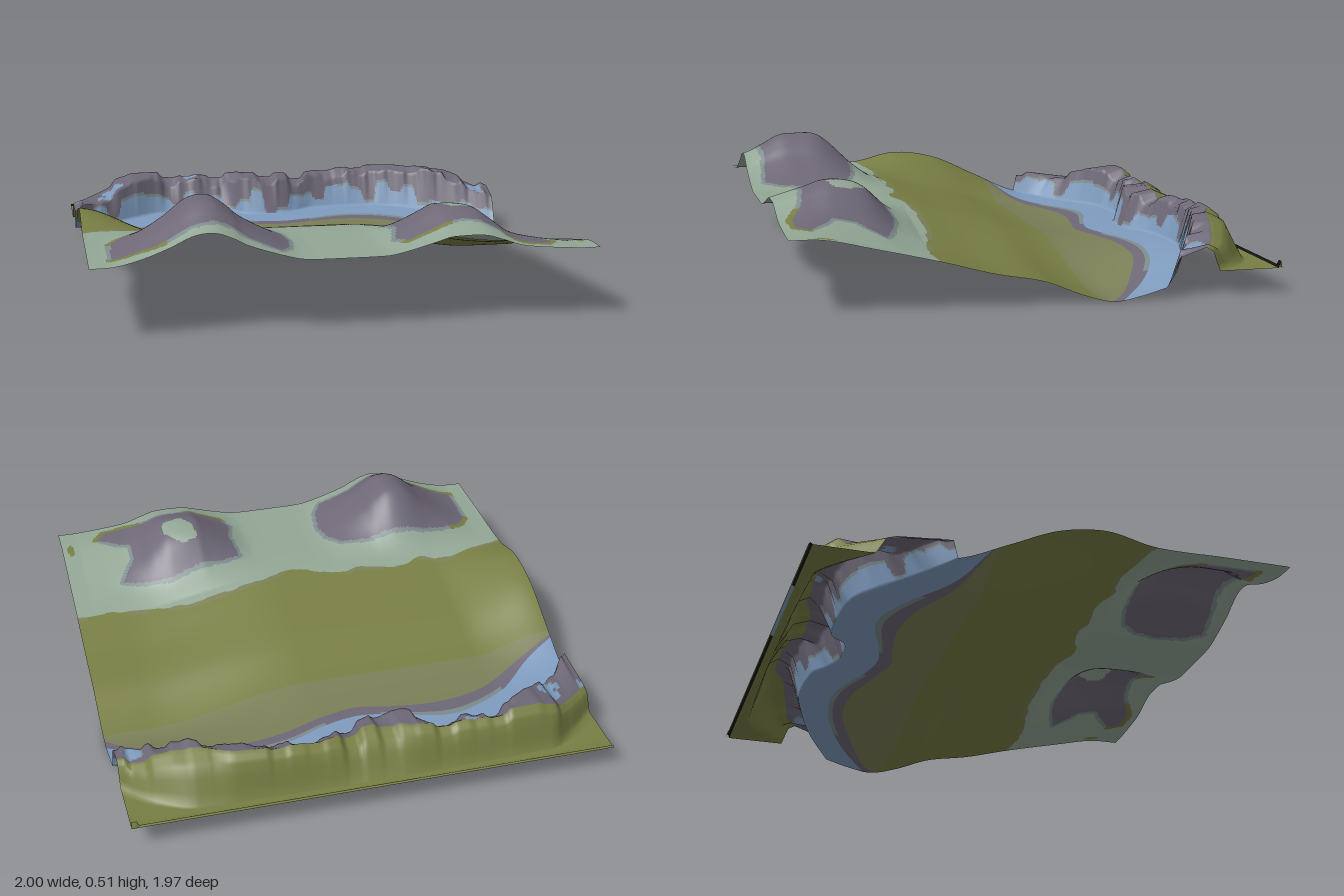
import * as THREE from 'three';

const mat = (name, color) =>
  new THREE.MeshStandardMaterial({ name, color, side: THREE.DoubleSide });

const lerp = (a, b, t) => a + (b - a) * t;
const smooth = (a, b, v) => THREE.MathUtils.smoothstep(v, a, b);

// Smooth curve through [position, value] points, held constant past both ends
function curve(p) {
  const slope = (i) => {
    const a = p[Math.max(0, i - 1)], b = p[Math.min(p.length - 1, i + 1)];
    return (b[1] - a[1]) / (b[0] - a[0]);
  };
  return (v) => {
    if (v <= p[0][0]) return p[0][1];
    if (v >= p[p.length - 1][0]) return p[p.length - 1][1];
    let i = 0;
    while (v > p[i + 1][0]) i++;
    const d = p[i + 1][0] - p[i][0], t = (v - p[i][0]) / d, t2 = t * t, t3 = t2 * t;
    return (2 * t3 - 3 * t2 + 1) * p[i][1] + (t3 - 2 * t2 + t) * d * slope(i)
      + (3 * t2 - 2 * t3) * p[i + 1][1] + (t3 - t2) * d * slope(i + 1);
  };
}

// Repeatable blocky noise, -1 to 1
const hash = (a, b) => {
  const s = Math.sin(a * 127.1 + b * 311.7) * 43758.5453;
  return (s - Math.floor(s)) * 2 - 1;
};
const blocky = (x, n, seed) => {
  const i = Math.floor(x * n);
  return lerp(hash(i, seed), hash(i + 1, seed), smooth(0.3, 0.7, x * n - i));
};

// Valley profiles (z, y) at the two sides and the middle
const sideA = curve([[-0.6, 0.1], [-0.4, 0.13], [-0.2, 0.22], [0, 0.31], [0.2, 0.34], [0.4, 0.3], [0.7, 0.3]]);
const middle = curve([[-0.6, 0.1], [-0.4, 0.1], [-0.2, 0.13], [0, 0.19], [0.2, 0.24], [0.4, 0.288], [0.6, 0.3], [1, 0.3]]);
const sideB = curve([[-0.71, 0.1], [-0.52, 0.05], [-0.39, 0.015], [-0.28, 0], [-0.15, 0.035], [0, 0.095],
  [0.2, 0.135], [0.4, 0.19], [0.67, 0.255], [0.85, 0.295], [1, 0.3]]);

// Hill cross-sections, along x and along z
const bigX = curve([[-0.98, 0], [-0.9, 0.04], [-0.8, 0.25], [-0.7, 0.57], [-0.6, 0.95], [-0.52, 1],
  [-0.45, 0.79], [-0.4, 0.57], [-0.3, 0.28], [-0.2, 0.05], [-0.13, 0]]);
const bigZ = curve([[0.36, 0], [0.42, 0.08], [0.5, 0.35], [0.6, 0.8], [0.66, 0.98], [0.75, 1],
  [0.82, 0.97], [0.9, 0.77], [0.96, 0.62], [1, 0.57]]);
const smallX = curve([[0.08, 0], [0.16, 0.05], [0.25, 0.35], [0.35, 0.78], [0.4, 0.98], [0.53, 1],
  [0.6, 0.72], [0.68, 0.33], [0.8, 0.12], [0.92, 0]]);
const smallZ = curve([[0.4, 0], [0.5, 0.3], [0.6, 0.85], [0.66, 1], [0.76, 0.98], [0.85, 0.75], [0.99, 0.45]]);

function ground(x, z) {
  const y = x < -0.65
    ? lerp(middle(z), sideA(z), smooth(0.65, 1, -x))
    : lerp(middle(z), sideB(z), smooth(0.1, 0.8, x));
  return y + 0.202 * bigX(x) * bigZ(z) + 0.147 * smallX(x) * smallZ(z);
}

// Lines across the terrain, z as a function of x
const ridgeBack = curve([[-1, -0.65], [-0.87, -0.77], [-0.77, -0.84], [-0.2, -0.84], [-0.08, -0.8], [0.05, -0.8],
  [0.2, -0.84], [0.55, -0.84], [0.65, -0.79], [0.9, -0.72], [1, -0.66]]);
const slopeFoot = curve([[-1, -0.73], [-0.87, -0.85], [-0.75, -0.92], [0.72, -0.92], [0.88, -0.84], [1, -0.72]]);
const cliffFoot = curve([[-1, -0.41], [-0.85, -0.55], [-0.7, -0.67], [-0.6, -0.73], [-0.45, -0.75], [-0.25, -0.74],
  [-0.18, -0.67], [-0.02, -0.66], [0.06, -0.69], [0.15, -0.74], [0.4, -0.75], [0.6, -0.7], [0.8, -0.62], [1, -0.5]]);
const waterEdge = curve([[-1, -0.27], [-0.85, -0.35], [-0.7, -0.48], [-0.55, -0.56], [-0.45, -0.59], [-0.35, -0.58],
  [-0.2, -0.53], [-0.05, -0.5], [0.1, -0.53], [0.25, -0.59], [0.4, -0.61], [0.6, -0.57], [0.8, -0.47], [1, -0.32]]);
const bankEdge = curve([[-1, -0.26], [-0.8, -0.34], [-0.6, -0.45], [-0.4, -0.49], [-0.2, -0.47], [-0.05, -0.44],
  [0.1, -0.47], [0.3, -0.53], [0.5, -0.53], [0.7, -0.45], [0.9, -0.35], [1, -0.27]]);
const meadowEdge = curve([[-1, 0.41], [-0.85, 0.38], [-0.7, 0.35], [-0.6, 0.38], [-0.5, 0.34], [-0.3, 0.37],
  [-0.2, 0.35], [0, 0.41], [0.15, 0.38], [0.3, 0.36], [0.5, 0.36], [0.8, 0.41], [1, 0.41]]);
const crest = curve([[-1, 0.2], [-0.88, 0.225], [-0.7, 0.27], [-0.5, 0.26], [-0.3, 0.25], [-0.1, 0.26],
  [0.1, 0.25], [0.4, 0.265], [0.8, 0.255], [0.9, 0.22], [1, 0.18]]);
const ridgeTop = (x) => Math.min(0.28, crest(x) + 0.02 * blocky(x, 13, 1));
const endBluff = (x) => smooth(0.88, 1, -x);
const cliffTop = (x) => cliffFoot(x) - lerp(0.05, 0.02, endBluff(x)) + 0.008 * blocky(x, 22, 2);
const cliffHeight = (x) => ridgeTop(x) - 0.02 + 0.02 * blocky(x, 17, 3) + 0.05 * endBluff(x);
const lipHeight = (x) => 0.108 + 0.02 * smooth(0.76, 0.82, x) * smooth(0.97, 0.92, x);

// Outlines (x, z) of the bare rock on the hills and of the grassy cap
const bigRock = [[-0.9, 0.64], [-0.86, 0.58], [-0.75, 0.53], [-0.65, 0.51], [-0.38, 0.515], [-0.27, 0.55], [-0.22, 0.62],
  [-0.2, 0.72], [-0.22, 0.85], [-0.26, 0.92], [-0.45, 0.9], [-0.58, 0.92], [-0.72, 0.92], [-0.82, 0.89], [-0.91, 0.88]];
const smallRock = [[0.22, 0.56], [0.3, 0.53], [0.42, 0.52], [0.55, 0.5], [0.66, 0.53], [0.76, 0.57], [0.73, 0.62],
  [0.69, 0.68], [0.69, 0.77], [0.76, 0.82], [0.83, 0.88], [0.79, 0.93], [0.69, 0.93], [0.6, 0.88], [0.47, 0.86],
  [0.38, 0.88], [0.25, 0.88], [0.21, 0.82], [0.24, 0.7]];
const grassCap = [[0.4, 0.62], [0.47, 0.6], [0.51, 0.63], [0.55, 0.68], [0.54, 0.75], [0.45, 0.76], [0.41, 0.7]];

// Distance to an outline, negative inside
function distance(outline, x, z) {
  let inside = false, near = Infinity;
  outline.forEach(([bx, bz], i) => {
    const [ax, az] = outline.at(i - 1), dx = bx - ax, dz = bz - az;
    const t = THREE.MathUtils.clamp(((x - ax) * dx + (z - az) * dz) / (dx * dx + dz * dz), 0, 1);
    near = Math.min(near, Math.hypot(x - ax - t * dx, z - az - t * dz));
    if ((az > z) !== (bz > z) && x < ax + (z - az) * dx / dz) inside = !inside;
  });
  return inside ? -near : near;
}

// Strips from back to front: front line, height on that line (or ground), rows, colour
const edgeLine = { z: () => -0.985, y: () => 0.1 };
const strips = [
  { z: () => -0.979, y: lipHeight, rows: 1, colour: 'grass' },
  { z: () => -0.969, y: () => 0.1, rows: 1, colour: 'seam' },
  { z: slopeFoot, y: () => 0.1, rows: 4, colour: 'grass' },
  { z: (x) => lerp(slopeFoot(x), ridgeBack(x), 0.5), y: (x) => lerp(0.1, ridgeTop(x), 0.82), rows: 3, colour: 'grass' },
  { z: ridgeBack, y: ridgeTop, rows: 3, colour: 'grass' },
  { z: cliffTop, y: cliffHeight, rows: 8, colour: 'ridge' },
  { z: cliffFoot, rows: 12, colour: 'cliff' },
  { z: waterEdge, rows: 8, colour: 'water' },
  { z: (x) => lerp(waterEdge(x), bankEdge(x), 0.3), rows: 2, colour: 'shore' },
  { z: bankEdge, rows: 3, colour: 'rock' },
  { z: () => -0.24, rows: 8, colour: 'dryGrass' },
  { z: (x) => meadowEdge(x) - 0.022, rows: 22, colour: 'grass' },
  { z: (x) => meadowEdge(x) + 0.006 * blocky(x, 20, 6), rows: 2, colour: 'fringe' },
  { z: () => 0.985, rows: 84, colour: 'meadow' },
];

// Colour of a cell; t runs from the back to the front of its strip
const painters = {
  seam: (x) => (x > -0.64 && x < -0.17 ? 'water' : 'shadowSeam'),
  ridge(x, z) {
    if (Math.hypot((x + 0.81) / 0.05, (z + 0.71) / 0.045) < 1) return 'water';
    const n = blocky(x, 14, 9) + blocky(z, 20, 5);
    return n > 1.25 ? 'water' : n > 1.1 ? 'looseStone' : 'rock';
  },
  cliff(x, z, t) {
    const n = blocky(x, 16, 7), level = 0.68 - 0.4 * n - 0.3 * smooth(0.8, 0.98, Math.abs(x));
    if (t > level) return 'water';
    return t > level - 0.07 ? 'looseStone' : 'rock';
  },
  shore: (x) => ((x > -0.7 && x < -0.15) || (x > 0.1 && x < 0.7) ? 'looseStone' : 'rock'),
  fringe: (x) => (blocky(x, 11, 8) > -0.1 ? 'dryGrass' : 'grass'),
  meadow(x, z) {
    if (distance(grassCap, x, z) < 0) return 'meadow';
    const d = Math.min(distance(bigRock, x, z), distance(smallRock, x, z));
    if (d < 0) return 'rock';
    const turf = (z > 0.87 && (x < -0.7 || (x > 0.2 && x < 0.42) || x > 0.62)) || (x < -0.8 && z < 0.66);
    if (turf && d < 0.024) return 'grass';
    if (Math.hypot((x - 0.96) / 0.015, (z - 0.84) / 0.04) < 1) return 'grass';
    return d < 0.018 ? 'looseStone' : 'meadow';
  },
};

export function createModel() {
  const materials = {
    grass: mat('olive grass', 0x787e44),
    dryGrass: mat('grey olive grass', 0x7b7f57),
    meadow: mat('pale sage', 0x93a796),
    rock: mat('purple grey rock', 0x6e6877),
    looseStone: mat('grey stone', 0x7d8b8c),
    water: mat('river blue', 0x7f9cbf),
    shadowSeam: mat('black seam', 0x15150f),
  };
  const columns = 260, positions = [], cells = {};
  const xs = Array.from({ length: columns + 1 }, (_, j) => -1 + (2 * j) / columns);
  const heightOn = (line, x) => (line.y ? line.y(x) : ground(x, line.z(x)));
  const addRow = (from, to, t) => {
    for (const x of xs) {
      const z = lerp(from.z(x), to.z(x), t);
      const y = to.y || from.y ? lerp(heightOn(from, x), heightOn(to, x), t) : ground(x, z);
      positions.push(x, Math.max(0, y), z);
    }
  };

  // Lay the rows and sort the cells by colour
  addRow(edgeLine, strips[0], 0);
  let from = edgeLine, row = 0;
  for (const strip of strips) {
    const painter = painters[strip.colour] ?? (() => strip.colour);
    for (let k = 1; k <= strip.rows; k++, row++) {
      addRow(from, strip, k / strip.rows);
      for (let j = 0; j < columns; j++) {
        const t = (k - 0.5) / strip.rows, x = xs[j] + 1 / columns;
        const name = painter(x, lerp(from.z(x), strip.z(x), t), t);
        const a = row * (columns + 1) + j, b = a + columns + 1;
        (cells[name] ||= []).push(a, b, a + 1, b, b + 1, a + 1);
      }
    }
    from = strip;
  }

  // One shared set of smooth normals keeps the colour borders seamless
  const whole = new THREE.BufferGeometry();
  whole.setAttribute('position', new THREE.Float32BufferAttribute(positions, 3));
  whole.setIndex(Object.values(cells).flat());
  whole.computeVertexNormals();

  const group = new THREE.Group();
  group.name = 'riverValleyTerrain';
  for (const [name, index] of Object.entries(cells)) {
    const geometry = new THREE.BufferGeometry();
    geometry.setAttribute('position', whole.attributes.position);
    geometry.setAttribute('normal', whole.attributes.normal);
    geometry.setIndex(index);
    const mesh = new THREE.Mesh(geometry, materials[name]);
    mesh.name = name;
    group.add(mesh);
  }
  return group;
}
